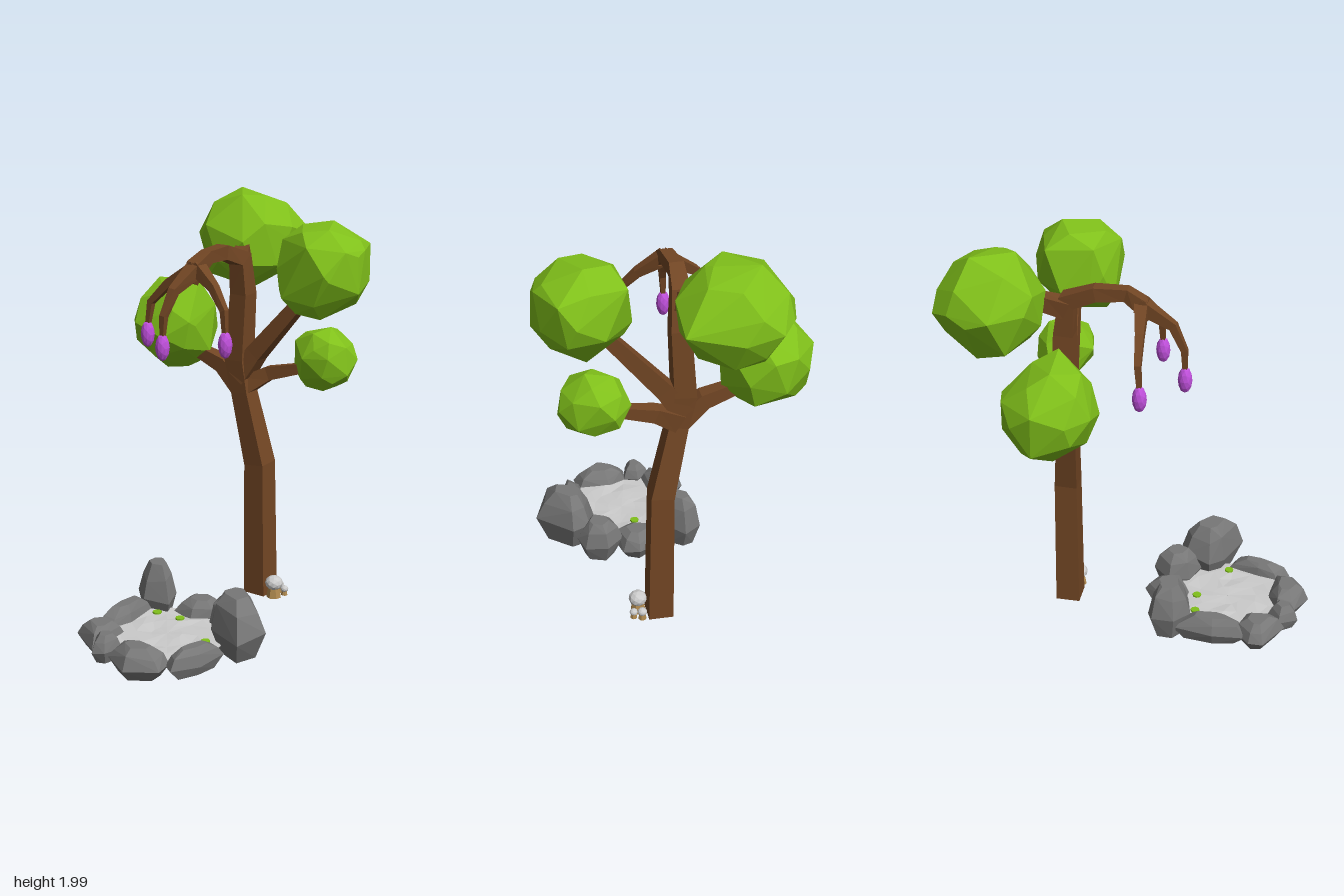
import * as THREE from 'three';
import { ConvexGeometry } from 'three/addons/geometries/ConvexGeometry.js';

const mat = (color, side = THREE.FrontSide) => {
  const m = new THREE.MeshStandardMaterial({ color, flatShading: true });
  m.side = side;
  return m;
};
const bark = mat(0x724624), leaf = mat(0x80c01a), stone = mat(0x777777);
const purple = mat(0xc050dc), pale = mat(0xcccccc), tan = mat(0xb08a50);

function seeded(s) {
  return () => {
    s = (s * 16807) % 2147483647;
    return s / 2147483647;
  };
}

function add(parent, name, geometry, material) {
  const mesh = new THREE.Mesh(geometry, material);
  mesh.name = name;
  parent.add(mesh);
  return mesh;
}

// Irregular foliage clump: hull of jittered sphere points fitted to a box, plus outlying corners
function clump(min, max, corners, seed) {
  const rnd = seeded(seed * 7919 + 13), pts = [], count = 28;
  for (let i = 0; i < count; i++) {
    const y = 1 - (2 * i + 1) / count, r = Math.sqrt(1 - y * y);
    const a = i * 2.39996 + seed;
    const p = new THREE.Vector3(r * Math.cos(a), y, r * Math.sin(a));
    p.add(new THREE.Vector3(rnd() - 0.5, rnd() - 0.5, rnd() - 0.5).multiplyScalar(0.45));
    pts.push(p.normalize().multiplyScalar(1 - rnd() * 0.1));
  }
  const from = new THREE.Box3().setFromPoints(pts);
  const lo = new THREE.Vector3(...min), size = new THREE.Vector3(...max).sub(lo);
  const span = from.getSize(new THREE.Vector3());
  pts.forEach(p => p.sub(from.min).divide(span).multiply(size).add(lo));
  return new ConvexGeometry([...pts, ...corners.map(c => new THREE.Vector3(...c))]);
}

// Faceted rock: ground outline [x, z] stacked in levels that shrink towards top and bottom
function rock(low, high, outline, seed) {
  const rnd = seeded(seed * 7919 + 13), pts = [];
  const cx = outline.reduce((s, p) => s + p[0], 0) / outline.length;
  const cz = outline.reduce((s, p) => s + p[1], 0) / outline.length;
  for (const [t, s] of [[0, 0.72], [0.42, 1], [0.78, 0.82], [1, 0.45]]) {
    for (const [x, z] of outline) {
      const k = s * (1 - (s < 1 ? rnd() * 0.12 : 0));
      const inner = t > 0 && t < 1 ? (rnd() - 0.5) * 0.16 : 0;
      pts.push(new THREE.Vector3(cx + (x - cx) * k, low + (high - low) * (t + inner), cz + (z - cz) * k));
    }
  }
  return new ConvexGeometry(pts);
}

// Square-section limb through points [x, y, z, halfWidth]
function limb(points, ref) {
  const P = points.map(p => new THREE.Vector3(p[0], p[1], p[2]));
  const pos = [], idx = [], n = P.length;
  P.forEach((p, i) => {
    const t = new THREE.Vector3();
    if (i < n - 1) t.add(P[i + 1].clone().sub(p).normalize());
    if (i > 0) t.add(p.clone().sub(P[i - 1]).normalize());
    t.normalize();
    const u = ref.clone().addScaledVector(t, -ref.dot(t)).normalize();
    const v = t.clone().cross(u), h = points[i][3];
    for (const [a, b] of [[1, 1], [-1, 1], [-1, -1], [1, -1]]) {
      const c = p.clone().addScaledVector(u, a * h).addScaledVector(v, b * h);
      pos.push(c.x, c.y, c.z);
    }
    if (i < n - 1) for (let k = 0; k < 4; k++) {
      const a = i * 4 + k, b = i * 4 + (k + 1) % 4;
      idx.push(a, b, b + 4, a, b + 4, a + 4);
    }
  });
  const e = (n - 1) * 4;
  idx.push(0, 3, 2, 0, 2, 1, e, e + 1, e + 2, e, e + 2, e + 3);
  const g = new THREE.BufferGeometry();
  g.setAttribute('position', new THREE.Float32BufferAttribute(pos, 3));
  g.setIndex(idx);
  const flat = g.toNonIndexed();
  flat.computeVertexNormals();
  return flat;
}

function buildTree() {
  const tree = new THREE.Group();
  tree.name = 'tree';
  const X = new THREE.Vector3(1, 0, 0), Z = new THREE.Vector3(0, 0, 1);

  // Trunk, bending forward into the drooping arch
  add(tree, 'trunk', limb([
    [0.075, 0.015, -0.36, 0.06], [0.065, 0.7, -0.355, 0.055], [-0.015, 1.06, -0.33, 0.046],
    [-0.045, 1.22, -0.33, 0.052], [-0.025, 1.55, -0.33, 0.046], [-0.03, 1.72, -0.31, 0.042],
    [-0.04, 1.77, -0.18, 0.034], [-0.025, 1.77, -0.04, 0.03], [-0.035, 1.73, 0.03, 0.036],
    [-0.045, 1.66, 0.06, 0.025]], X), bark);

  // Branches reaching into the foliage
  const branches = {
    leftBranch: [[-0.015, 1.07, -0.33, 0.045], [-0.14, 1.18, -0.33, 0.038], [-0.36, 1.25, -0.33, 0.025]],
    lowBranch: [[-0.01, 1.09, -0.34, 0.045], [0.1, 1.16, -0.38, 0.034], [0.36, 1.23, -0.41, 0.02]],
    highBranch: [[-0.04, 1.13, -0.33, 0.05], [0.05, 1.26, -0.34, 0.042], [0.4, 1.67, -0.37, 0.026]],
    backBranch: [[-0.03, 1.68, -0.32, 0.042], [-0.09, 1.73, -0.42, 0.036], [-0.18, 1.76, -0.58, 0.025]]
  };
  for (const name in branches) {
    add(tree, name, limb(branches[name], name === 'backBranch' ? X : Z), bark);
  }

  // Hanging twigs, each ending in a fruit
  const twigs = [
    [[-0.03, 1.73, 0.03, 0.032], [-0.18, 1.64, 0.05, 0.02], [-0.28, 1.54, 0.06, 0.015], [-0.295, 1.42, 0.07, 0.01]],
    [[-0.035, 1.73, 0.02, 0.036], [-0.05, 1.64, 0.18, 0.02], [-0.065, 1.53, 0.235, 0.015], [-0.07, 1.42, 0.24, 0.01]],
    [[-0.03, 1.73, 0.03, 0.032], [0.09, 1.65, 0.06, 0.02], [0.17, 1.56, 0.09, 0.015], [0.18, 1.44, 0.095, 0.01]]
  ];
  twigs.forEach((t, i) => {
    add(tree, 'twig' + (i + 1), limb(t, i === 1 ? X : Z), bark);
    const [x, y, z] = t[3];
    const fruit = add(tree, 'fruit' + (i + 1), new THREE.IcosahedronGeometry(1, 1), purple);
    fruit.scale.set(0.034, 0.065, 0.034);
    fruit.position.set(x, y - 0.035, z);
  });

  // Foliage clumps
  [
    [[-0.64, 1.12, -0.53], [-0.22, 1.58, -0.1], [[-0.27, 1.59, -0.3], [-0.24, 1.4, -0.18]]],
    [[-0.47, 1.51, -0.865], [0.05, 2, -0.39],
      [[0.06, 1.77, -0.83], [0.06, 1.84, -0.62], [-0.35, 1.75, -0.85], [-0.08, 1.78, -0.4], [-0.1, 1.98, -0.62]]],
    [[0.2, 1.48, -0.585], [0.63, 1.93, -0.155],
      [[0.23, 1.84, -0.48], [0.54, 1.82, -0.56], [0.62, 1.82, -0.38], [0.54, 1.72, -0.16]]],
    [[0.22, 1.115, -0.56], [0.54, 1.425, -0.28], [[0.3, 1.12, -0.4], [0.53, 1.2, -0.4]]]
  ].forEach(([a, b, c], i) => add(tree, 'foliage' + (i + 1), clump(a, b, c, i + 3), leaf));
  return tree;
}

function buildPond() {
  const pond = new THREE.Group();
  pond.name = 'pond';

  // Rim of rocks: bottom, top, ground outline
  [
    [0.02, 0.3, [[-0.24, 0.12], [-0.16, 0.09], [-0.06, 0.16], [-0.02, 0.27], [-0.15, 0.3], [-0.24, 0.23]]],
    [0.02, 0.155, [[-0.03, 0.11], [0.09, 0.03], [0.17, 0.07], [0.2, 0.2], [0.1, 0.26], [-0.02, 0.23]]],
    [0.02, 0.22, [[0.16, 0.14], [0.25, 0.05], [0.36, 0.09], [0.39, 0.17], [0.32, 0.29], [0.2, 0.24]]],
    [0.03, 0.32, [[0.28, 0.33], [0.32, 0.2], [0.41, 0.17], [0.58, 0.32], [0.53, 0.475], [0.33, 0.4]]],
    [0.015, 0.145, [[0.36, 0.42], [0.44, 0.45], [0.42, 0.6], [0.36, 0.74], [0.29, 0.69], [0.31, 0.58]]],
    [0.01, 0.155, [[0.04, 0.7], [0.14, 0.65], [0.3, 0.67], [0.32, 0.77], [0.18, 0.855], [0.04, 0.79]]],
    [0.03, 0.16, [[-0.09, 0.73], [-0.02, 0.67], [0.05, 0.7], [0.03, 0.8], [-0.03, 0.82]]],
    [0.015, 0.145, [[-0.25, 0.6], [-0.16, 0.52], [-0.05, 0.55], [-0.03, 0.7], [-0.08, 0.76], [-0.25, 0.67]]],
    [0.02, 0.155, [[-0.21, 0.22], [-0.12, 0.24], [-0.1, 0.45], [-0.13, 0.56], [-0.21, 0.58], [-0.24, 0.42]]]
  ].forEach(([a, b, c], i) => add(pond, 'rock' + (i + 1), rock(a, b, c, i + 11), stone));

  // Pond bed and gently rippled water
  const bed = add(pond, 'pondBed', new THREE.CylinderGeometry(0.28, 0.25, 0.04, 14), stone);
  bed.position.set(0.11, 0.055, 0.45);
  const surface = new THREE.RingGeometry(0.001, 0.29, 14, 4).rotateX(-Math.PI / 2);
  const p = surface.attributes.position;
  for (let i = 0; i < p.count; i++) {
    p.setY(i, 0.005 * Math.sin(p.getX(i) * 31) * Math.cos(p.getZ(i) * 27));
  }
  surface.computeVertexNormals();
  const water = add(pond, 'water', surface, mat(0xcccccc, THREE.DoubleSide));
  water.position.set(0.11, 0.085, 0.45);

  // Lily pads
  [[-0.06, 0.31], [0.07, 0.3], [0.32, 0.43]].forEach(([x, z], i) => {
    const pad = add(pond, 'lilyPad' + (i + 1), new THREE.CylinderGeometry(0.022, 0.022, 0.008, 8), leaf);
    pad.position.set(x, 0.096, z);
  });
  return pond;
}

// Mushrooms at the foot of the trunk: [x, z, capHeight, capRadius]
function buildMushrooms() {
  const group = new THREE.Group();
  group.name = 'mushrooms';
  [[0.175, -0.335, 0.09, 0.045], [0.165, -0.4, 0.055, 0.024], [0.205, -0.385, 0.048, 0.02]]
    .forEach(([x, z, y, r], i) => {
      const stemH = y - 0.015;
      const stem = add(group, 'stem' + (i + 1), new THREE.CylinderGeometry(r * 0.55, r * 0.85, stemH, 7), tan);
      stem.position.set(x, 0.015 + stemH / 2, z);
      const cap = add(group, 'cap' + (i + 1), new THREE.IcosahedronGeometry(r, 1), pale);
      cap.scale.y = 0.85;
      cap.position.set(x, y, z);
    });
  return group;
}

export function createModel() {
  const model = new THREE.Group();
  model.name = 'treeAndPond';
  model.add(buildTree(), buildPond(), buildMushrooms());
  return model;
}
